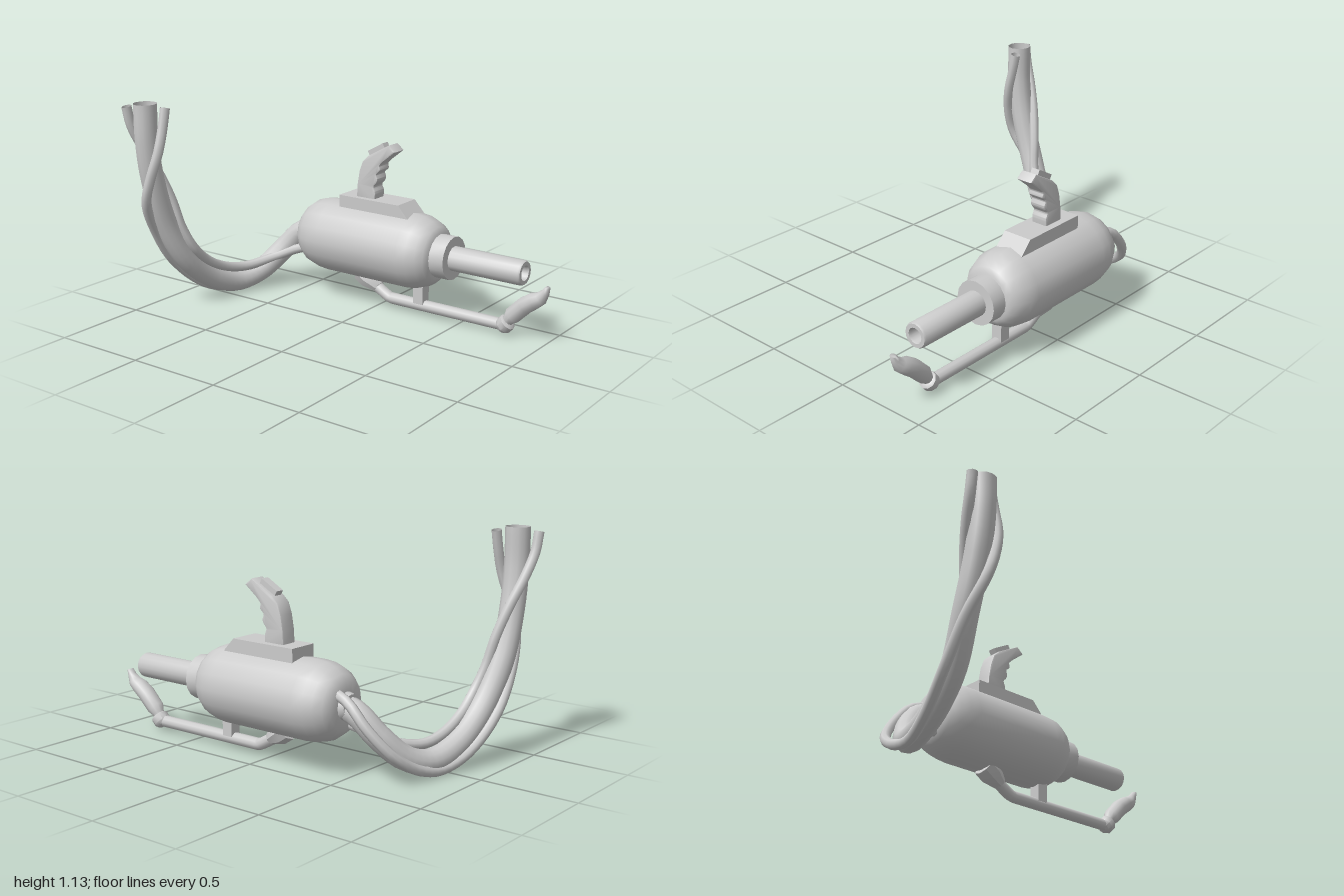
import * as THREE from 'three';
import { toCreasedNormals } from 'three/addons/utils/BufferGeometryUtils.js';

const CX = 0.355, CY = 0.35;
const material = new THREE.MeshStandardMaterial({ color: 0xcccccc });
const openMaterial = new THREE.MeshStandardMaterial({ color: 0xcccccc, side: THREE.DoubleSide });

function add(group, name, geometry, mat = material) {
  const mesh = new THREE.Mesh(geometry, mat);
  mesh.name = name;
  group.add(mesh);
  return mesh;
}

// Turned part along z; profile is [radius, z] from back to front
function turned(profile, sides, crease = 0.7) {
  const points = profile.map(([r, z]) => new THREE.Vector2(r, z));
  const g = new THREE.LatheGeometry(points, sides).rotateX(Math.PI / 2);
  return toCreasedNormals(g, crease);
}

// Side outline extruded across x, centred on x = 0; the shape uses (-z, y)
function slab(shape, width, bevel) {
  const g = new THREE.ExtrudeGeometry(shape, {
    depth: width - 2 * bevel, bevelEnabled: bevel > 0, bevelSize: bevel, bevelOffset: -bevel,
    bevelThickness: bevel, bevelSegments: 2, curveSegments: 8,
  });
  g.translate(0, 0, bevel - width / 2).rotateY(Math.PI / 2);
  return toCreasedNormals(g, 0.6);
}

const outline = (points) => new THREE.Shape(points.map(([z, y]) => new THREE.Vector2(-z, y)));

function cable(points, radius, sides) {
  const curve = new THREE.CatmullRomCurve3(points.map((p) => new THREE.Vector3(...p)));
  return new THREE.TubeGeometry(curve, 48, radius, sides, false);
}

// Turned part placed so that its axis runs from point a towards point b
function place(mesh, a, b) {
  const dir = new THREE.Vector3(...b).sub(new THREE.Vector3(...a)).normalize();
  mesh.position.set(...a);
  mesh.quaternion.setFromUnitVectors(new THREE.Vector3(0, 0, 1), dir);
}

export function createModel() {
  const model = new THREE.Group();
  model.name = 'handheldTool';

  // Rounded main housing
  add(model, 'body', turned([
    [0, -0.51], [0.062, -0.51], [0.07, -0.48], [0.12, -0.475], [0.15, -0.45], [0.178, -0.41],
    [0.194, -0.36], [0.2, -0.3], [0.2, 0.22], [0.194, 0.27], [0.175, 0.32], [0.15, 0.355],
    [0.125, 0.37], [0, 0.37],
  ], 16)).position.set(CX, CY, 0);

  // Front collar and hollow barrel
  add(model, 'collar', turned([[0.115, 0.34], [0.115, 0.455], [0, 0.455]], 16))
    .position.set(CX, CY, 0);
  add(model, 'barrel', turned([
    [0.065, 0.44], [0.065, 0.855], [0.06, 0.865], [0.04, 0.865], [0.036, 0.855], [0.036, 0.68], [0, 0.68],
  ], 16)).position.set(CX, CY, 0);

  // Mounting plate with sloped front
  add(model, 'handleBase', slab(outline([
    [0.22, 0.5], [-0.22, 0.5], [-0.22, 0.6], [0.155, 0.6], [0.22, 0.53],
  ]), 0.16, 0)).position.x = CX + 0.003;

  // Pistol grip with finger grooves on its front edge
  const grip = outline([[-0.015, 0.59], [-0.132, 0.59], [-0.127, 0.67], [-0.115, 0.74],
    [-0.095, 0.795], [-0.06, 0.828], [0.07, 0.9], [0.11, 0.868], [0.04, 0.812]]);
  grip.splineThru([[0.015, 0.785], [0.018, 0.76], [-0.005, 0.735], [0.002, 0.71],
    [-0.004, 0.69], [-0.022, 0.665], [-0.012, 0.635], [-0.015, 0.59]]
    .map(([z, y]) => new THREE.Vector2(-z, y)));
  add(model, 'grip', slab(grip, 0.09, 0.008)).position.x = CX;
  add(model, 'thumbButton', slab(outline([
    [0.04, 0.865], [-0.055, 0.815], [-0.075, 0.85], [0.02, 0.903],
  ]), 0.046, 0)).position.x = CX;

  // Underslung rod with its post and rear socket
  const X = 0.347;
  const rodPath = new THREE.CurvePath();
  const rodPoints = [[X, 0.15, -0.09], [X, 0.075, 0.035], [X, 0.058, 0.07], [X, 0.058, 0.765]]
    .map((p) => new THREE.Vector3(...p));
  for (let i = 0; i < 3; i++) rodPath.add(new THREE.LineCurve3(rodPoints[i], rodPoints[i + 1]));
  add(model, 'supportRod', new THREE.TubeGeometry(rodPath, 40, 0.031, 10, false), openMaterial);
  add(model, 'rodPost', new THREE.BoxGeometry(0.06, 0.12, 0.06)).position.set(X, 0.13, 0.262);
  place(add(model, 'rodSocket', turned([[0, 0], [0.06, 0], [0.06, 0.06], [0.034, 0.13], [0, 0.13]], 8)),
    [X, 0.175, -0.115], [X, 0.1, 0.0]);

  // Knuckle and angled front lever
  const hinge = [X, 0.06, 0.765], leverTip = [X, 0.285, 0.985];
  place(add(model, 'leverKnuckle', turned([
    [0, -0.04], [0.032, -0.03], [0.046, -0.01], [0.046, 0.025], [0.03, 0.035], [0, 0.035],
  ], 10)), hinge, leverTip);
  const lever = [[0.06, 0.76, 0.028], [0.095, 0.79, 0.032], [0.12, 0.81, 0.045], [0.185, 0.875, 0.046],
    [0.22, 0.925, 0.044], [0.24, 0.96, 0.036], [0.275, 0.985, 0.022], [0.303, 0.997, 0.012]];
  const sides = 10, pos = [], index = [];
  lever.forEach(([y, z, r], i) => {
    const a = lever[Math.max(i - 1, 0)], b = lever[Math.min(i + 1, lever.length - 1)];
    const len = Math.hypot(b[0] - a[0], b[1] - a[1]);
    const ty = (b[0] - a[0]) / len, tz = (b[1] - a[1]) / len;
    for (let j = 0; j < sides; j++) {
      const t = (j / sides) * Math.PI * 2, c = Math.cos(t) * Math.max(r, 0.02), s = Math.sin(t) * r;
      pos.push(X + c, y + s * tz, z - s * ty);
      if (i > 0) {
        const k = (j + 1) % sides, p = (i - 1) * sides, q = i * sides;
        index.push(p + j, p + k, q + j, p + k, q + k, q + j);
      }
    }
  });
  const last = (lever.length - 1) * sides;
  for (let j = 1; j < sides - 1; j++) index.push(last, last + j, last + j + 1);
  const leverGeometry = new THREE.BufferGeometry();
  leverGeometry.setAttribute('position', new THREE.Float32BufferAttribute(pos, 3));
  leverGeometry.setIndex(index);
  leverGeometry.computeVertexNormals();
  add(model, 'frontLever', leverGeometry, openMaterial);

  // Thick hose with two thin cables wound round it
  add(model, 'mainHose', cable([
    [0.35, 0.35, -0.45], [0.35, 0.32, -0.54], [0.31, 0.22, -0.63], [0.21, 0.11, -0.71],
    [0.08, 0.07, -0.765], [-0.1, 0.125, -0.8], [-0.27, 0.27, -0.83], [-0.39, 0.5, -0.865],
    [-0.465, 0.75, -0.87], [-0.493, 0.95, -0.87], [-0.495, 1.14, -0.87],
  ], 0.062, 12), openMaterial);
  add(model, 'outerCable', cable([
    [0.4, 0.42, -0.44], [0.42, 0.385, -0.54], [0.415, 0.28, -0.64], [0.34, 0.15, -0.74],
    [0.2, 0.06, -0.79], [0.05, 0.032, -0.815], [-0.12, 0.09, -0.86], [-0.3, 0.25, -0.9],
    [-0.43, 0.45, -0.9], [-0.525, 0.63, -0.86], [-0.528, 0.76, -0.82], [-0.5, 0.9, -0.785],
    [-0.465, 1.03, -0.78], [-0.445, 1.12, -0.78],
  ], 0.026, 8), openMaterial);
  add(model, 'innerCable', cable([
    [0.32, 0.26, -0.44], [0.3, 0.235, -0.53], [0.24, 0.185, -0.64], [0.1, 0.152, -0.725],
    [-0.03, 0.175, -0.755], [-0.17, 0.245, -0.77], [-0.27, 0.34, -0.78], [-0.325, 0.46, -0.81],
    [-0.355, 0.61, -0.845], [-0.4, 0.76, -0.89], [-0.46, 0.9, -0.935], [-0.51, 1.02, -0.96],
    [-0.53, 1.12, -0.967],
  ], 0.026, 8), openMaterial);

  return model;
}
